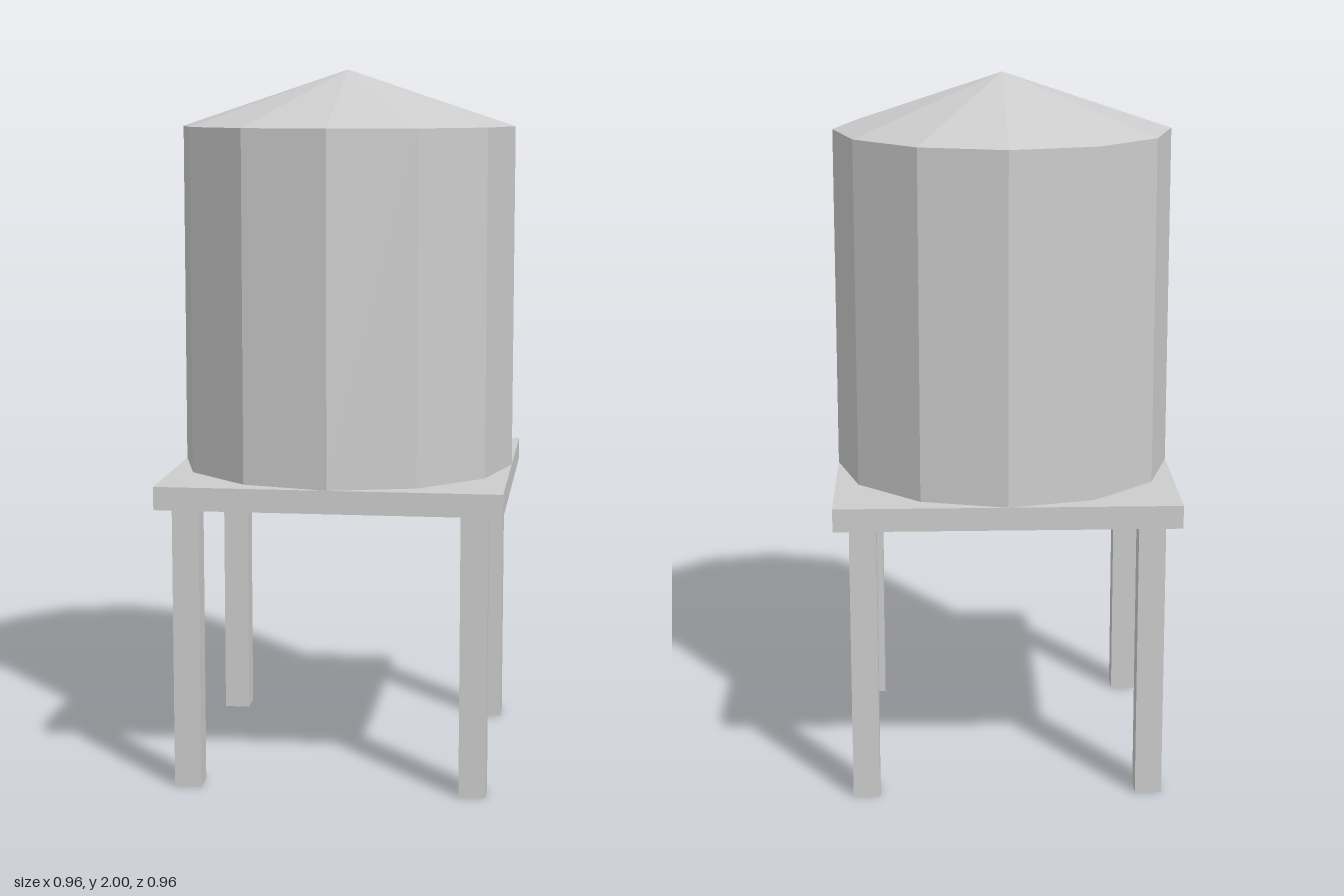
import * as THREE from 'three';

export function createModel() {
  const model = new THREE.Group();
  model.name = 'waterTower';
  const grey = new THREE.MeshStandardMaterial({ color: 0xcccccc, flatShading: true });
  grey.name = 'plain grey';

  const radius = 0.48, sides = 12;
  const legTop = 0.8, deckTop = 0.865, tankTop = 1.84, peak = 2;

  // Adds a named part whose base stands at height y
  function add(name, geometry, height, x, y, z) {
    const mesh = new THREE.Mesh(geometry, grey);
    mesh.name = name;
    mesh.position.set(x, y + height / 2, z);
    model.add(mesh);
  }

  // Four square legs
  const leg = new THREE.BoxGeometry(0.075, legTop, 0.075);
  for (const [endName, z] of [['front', 0.4], ['back', -0.4]]) {
    for (const [sideName, x] of [['Left', 0.4], ['Right', -0.4]]) {
      add(`${endName}${sideName}Leg`, leg, legTop, x, 0, z);
    }
  }

  // Square deck
  const deckHeight = deckTop - legTop;
  add('deck', new THREE.BoxGeometry(radius * 2, deckHeight, radius * 2), deckHeight, 0, legTop, 0);

  // Twelve-sided tank
  const tankHeight = tankTop - deckTop;
  add('tank', new THREE.CylinderGeometry(radius, radius, tankHeight, sides, 1, true), tankHeight, 0, deckTop, 0);

  // Shallow pointed roof
  const roofHeight = peak - tankTop;
  add('roof', new THREE.ConeGeometry(radius, roofHeight, sides, 1, true), roofHeight, 0, tankTop, 0);

  return model;
}
